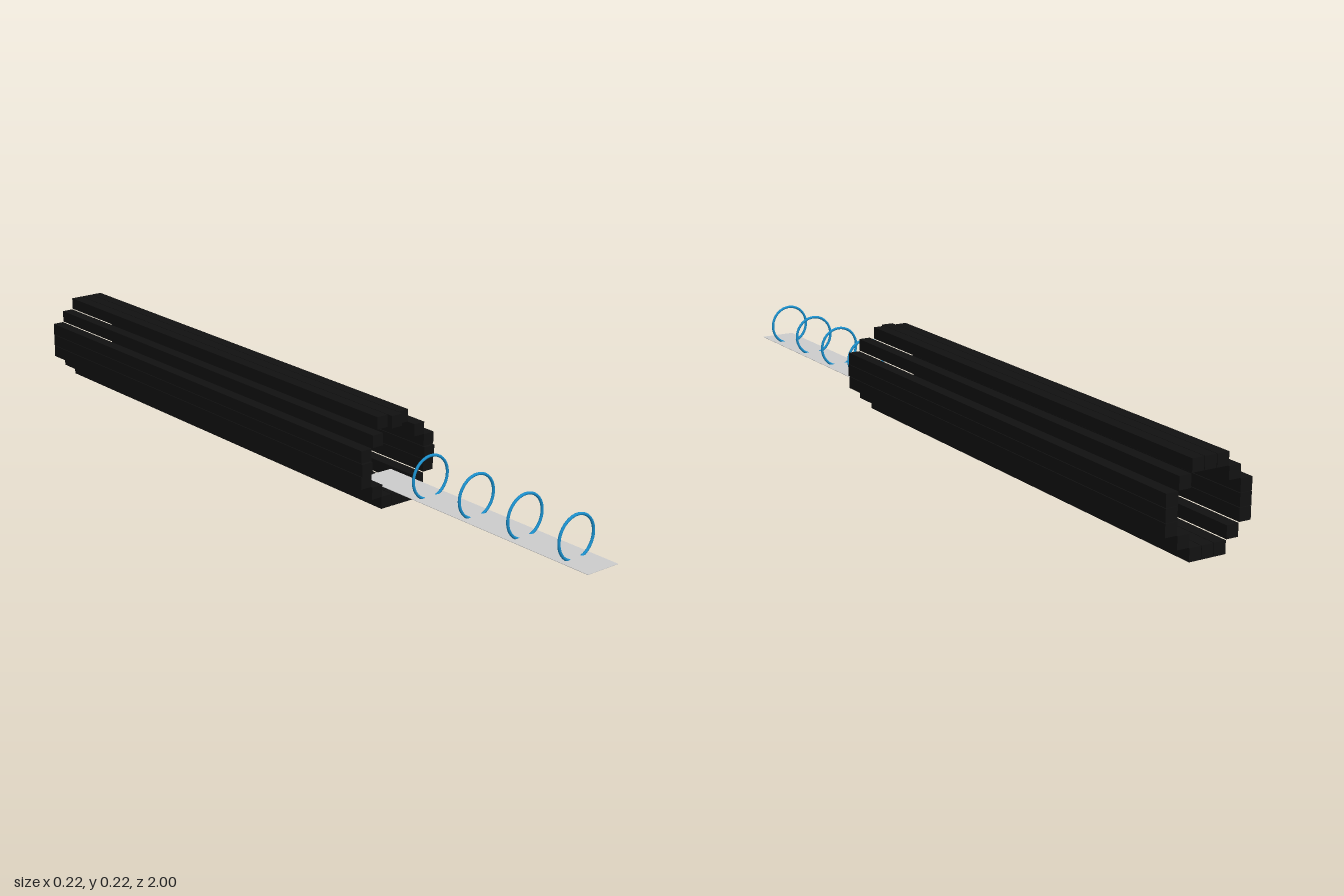
import * as THREE from 'three';

export function createModel() {
  const model = new THREE.Group();
  const black = new THREE.MeshStandardMaterial({ name: 'black', color: 0x111111 });
  const grey = new THREE.MeshStandardMaterial({ name: 'light grey', color: 0xcccccc });
  const blue = new THREE.MeshStandardMaterial({ name: 'blue', color: 0x1a8fcc });

  const add = (name, geometry, material, x, y, z, parent = model) => {
    const mesh = new THREE.Mesh(geometry, material);
    mesh.name = name;
    mesh.position.set(x, y, z);
    parent.add(mesh);
  };

  // Tunnel: an octagonal ring of long square beams with hairline gaps
  const tunnel = new THREE.Group();
  tunnel.name = 'tunnel';
  model.add(tunnel);
  const pitch = 0.032, size = 0.0305, back = -1, centreY = 0.112;
  const beam = (col, row, front) => add('beam',
    new THREE.BoxGeometry(size, size, front - back), black,
    col * pitch, centreY + row * pitch, (front + back) / 2, tunnel);

  // Roof and floor
  for (const col of [-1, 0, 1]) {
    beam(col, 3, col === 0 ? 0.342 : 0.327);
    beam(col, -3, 0.345);
  }
  // Side walls and the stepped corners
  for (const side of [-1, 1]) {
    for (const row of [-1, 0, 1]) beam(side * 3, row, row === 0 ? 0.351 : 0.347);
    for (const row of [-2, 2]) beam(side * 2, row, 0.349);
  }

  // Runway leading into the tunnel
  const runwayEnd = 0.27;
  add('runway', new THREE.BoxGeometry(0.092, 0.001, 1 - runwayEnd), grey,
    0, 0.057, (1 + runwayEnd) / 2);

  // Hoops standing along the runway
  const hoop = new THREE.TorusGeometry(0.0525, 0.0035, 10, 48);
  for (let i = 0; i < 4; i++) add('hoop', hoop, blue, 0, 0.104, 0.92 - i * 0.153);

  return model;
}
